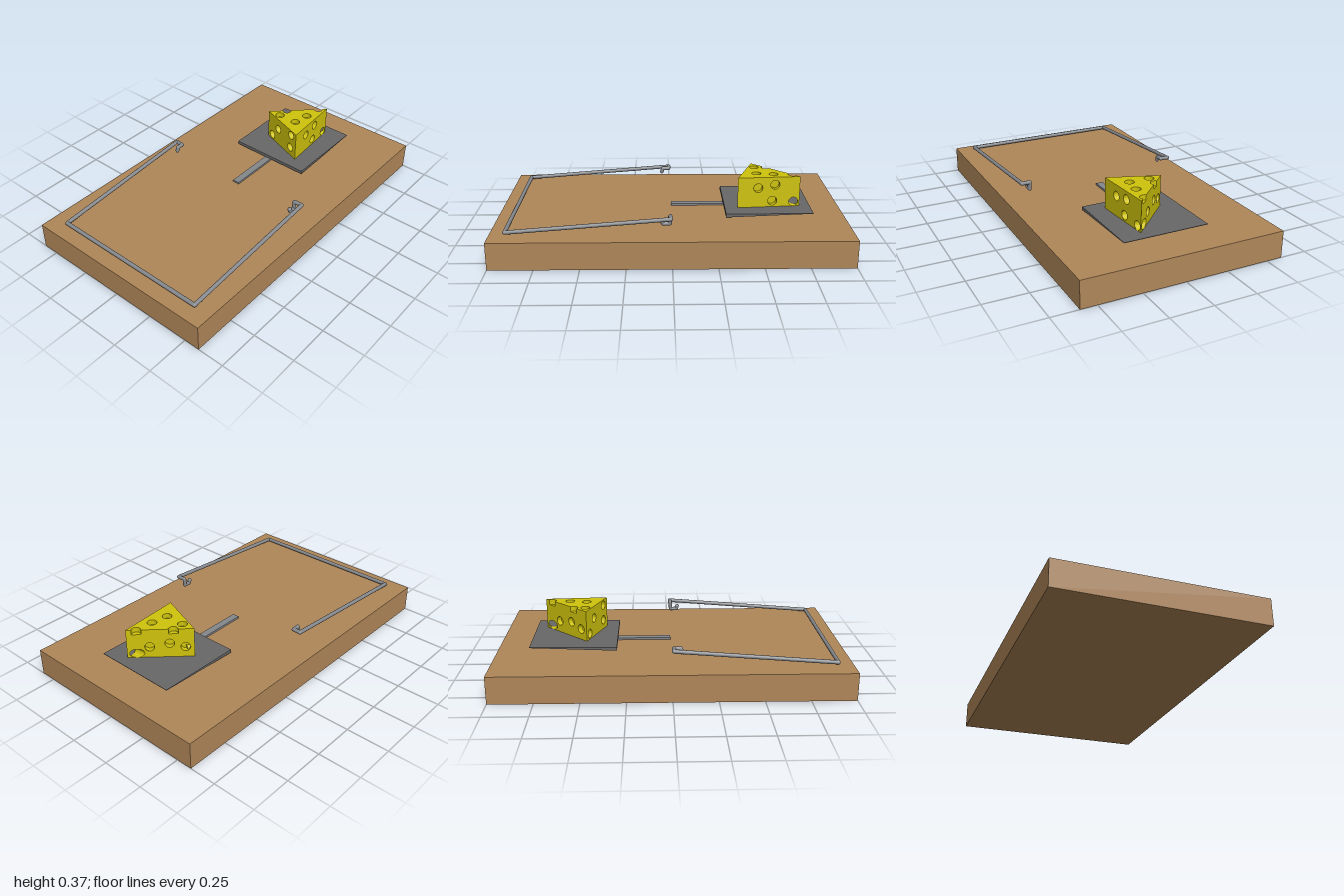
import * as THREE from 'three';

const mat = (color, side = THREE.FrontSide) => new THREE.MeshStandardMaterial({ color, side });
const wood = mat(0xb08759);
const plateGrey = mat(0x686868);
const steel = mat(0x85888c);
const yellow = mat(0xd0c40c, THREE.DoubleSide);

function add(parent, name, geometry, material) {
  const mesh = new THREE.Mesh(geometry, material);
  mesh.name = name;
  parent.add(mesh);
  return mesh;
}

// Round wire through a list of points, with ball joints at the bends
function wire(name, points, radius) {
  const group = new THREE.Group();
  group.name = name;
  const pts = points.map(p => new THREE.Vector3(...p));
  pts.forEach((p, i) => {
    add(group, 'wireBend', new THREE.SphereGeometry(radius, 16, 12), steel).position.copy(p);
    if (i === 0) return;
    const dir = p.clone().sub(pts[i - 1]);
    const rod = add(group, 'wireRod', new THREE.CylinderGeometry(radius, radius, dir.length(), 16), steel);
    rod.position.copy(p).add(pts[i - 1]).multiplyScalar(0.5);
    rod.quaternion.setFromUnitVectors(new THREE.Vector3(0, 1, 0), dir.normalize());
  });
  return group;
}

// Recessed hole sunk into a face that lies in the local xy plane
function crater(parent, x, y, r, depth, start = 0, length = Math.PI * 2) {
  const wall = new THREE.CylinderGeometry(r, r, depth, 24, 1, true, start + Math.PI / 2, length);
  wall.rotateX(Math.PI / 2).translate(x, y, -depth / 2);
  add(parent, 'holeWall', wall, yellow);
  const floor = new THREE.CircleGeometry(r, 24, start, length).translate(x, y, -depth);
  add(parent, 'holeFloor', floor, yellow);
}

function punch(shape, x, y, rx, ry = rx) {
  const hole = new THREE.Path();
  hole.absellipse(x, y, rx, ry, 0, Math.PI * 2, true);
  shape.holes.push(hole);
}

function createCheese() {
  const cheese = new THREE.Group();
  cheese.name = 'cheese';
  const base = 0.19, top = 0.372, r = 0.027, depth = 0.03;
  // Wedge corners as (x, -z), counter-clockwise from above
  const A = new THREE.Vector2(0.13, 0.75);
  const B = new THREE.Vector2(-0.135, 0.49);
  const C = new THREE.Vector2(0.155, 0.385);
  const dAB = B.clone().sub(A).normalize();
  const angAB = Math.atan2(dAB.y, dAB.x);
  const notches = [0.057, 0.258];

  // Top face with two half-round notches along the long edge
  const topFace = new THREE.Group();
  topFace.name = 'cheeseTop';
  topFace.rotation.x = -Math.PI / 2;
  topFace.position.y = top;
  const outline = [A];
  for (const u of notches) {
    const c = A.clone().addScaledVector(dAB, u);
    for (let i = 0; i <= 12; i++) {
      const t = angAB + Math.PI * (1 - i / 12);
      outline.push(new THREE.Vector2(c.x + r * Math.cos(t), c.y + r * Math.sin(t)));
    }
    crater(topFace, c.x, c.y, r, depth, angAB, Math.PI);
  }
  outline.push(B, C);
  const topShape = new THREE.Shape(outline);
  for (const [x, y] of [[0.08, 0.6], [0.065, 0.5], [-0.055, 0.5]]) {
    punch(topShape, x, y, r);
    crater(topFace, x, y, r, depth);
  }
  add(topFace, 'topSurface', new THREE.ShapeGeometry(topShape, 24), yellow);
  cheese.add(topFace);

  // Upright side from corner P to Q, holes given as [along, height]
  function side(name, P, Q, holes, cuts = [], through = null) {
    const face = new THREE.Group();
    face.name = name;
    const d = Q.clone().sub(P), len = d.length();
    face.position.set(P.x, 0, -P.y);
    face.rotation.y = Math.atan2(d.y, d.x);
    const s = new THREE.Shape();
    s.moveTo(len, top).lineTo;
    [...cuts].reverse().forEach(u => {
      s.lineTo(u + r, top);
      s.lineTo(u + r, top - depth);
      s.lineTo(u - r, top - depth);
      s.lineTo(u - r, top);
    });
    s.lineTo(0, top);
    s.lineTo(0, base);
    s.lineTo(len, base);
    s.closePath();
    for (const [x, y] of holes) {
      punch(s, x, y, r);
      crater(face, x, y, r, depth);
    }
    if (through) punch(s, ...through);
    add(face, name + 'Surface', new THREE.ShapeGeometry(s, 24), yellow);
    cheese.add(face);
    return face;
  }

  // One hole near corner A runs right through to the long side
  const lenCA = A.distanceTo(C);
  const dAC = C.clone().sub(A).normalize();
  const corner = Math.acos(dAC.dot(dAB));
  const inset = 0.036, holeY = 0.2195, stretch = 1 / Math.cos(corner);

  side('longSide', A, B, [[0.125, 0.26], [0.235, 0.28], [0.322, 0.255]], notches,
    [inset * stretch, holeY, r * stretch, r]);
  side('frontSide', B, C, [[0.048, 0.223], [0.112, 0.3], [0.25, 0.246], [0.255, 0.338]]);
  const right = side('rightSide', C, A, [[0.12, 0.307], [0.22, 0.325], [0.205, 0.228]], [],
    [lenCA - inset, holeY, r, r]);

  const tube = new THREE.CylinderGeometry(r, r, 1, 24, 1, true);
  tube.rotateX(Math.PI / 2).translate(lenCA - inset, holeY, -0.5);
  const pos = tube.attributes.position;
  for (let i = 0; i < pos.count; i++) {
    if (pos.getZ(i) < -0.5) pos.setZ(i, -(lenCA - pos.getX(i)) * Math.tan(corner));
    else pos.setZ(i, 0);
  }
  add(right, 'throughHole', tube, yellow);
  return cheese;
}

export function createModel() {
  const model = new THREE.Group();
  model.name = 'mousetrap';

  // Wooden board
  add(model, 'board', new THREE.BoxGeometry(1.186, 0.158, 2), wood).position.y = 0.079;

  // Trigger tongue and the wedge-shaped bait plate
  add(model, 'tongue', new THREE.BoxGeometry(0.042, 0.012, 0.33), steel).position.set(0, 0.164, -0.165);
  const profile = new THREE.Shape([[0.312, 0.17], [0.812, 0.19], [0.812, 0.193], [0.312, 0.19]]
    .map(p => new THREE.Vector2(...p)));
  const plate = new THREE.ExtrudeGeometry(profile, { depth: 0.5, bevelEnabled: false });
  plate.rotateY(Math.PI / 2).translate(-0.24, 0, 0);
  add(model, 'baitPlate', plate, plateGrey);

  // Bent wire bar with a hook on each end
  model.add(wire('wireBar', [
    [-0.43, 0.228, 0.053], [-0.43, 0.25, 0.048], [-0.43, 0.25, 0.01], [-0.476, 0.25, 0.008],
    [-0.476, 0.178, 0.91], [0.491, 0.178, 0.91],
    [0.491, 0.25, 0.008], [0.443, 0.25, 0.01], [0.443, 0.207, 0.014], [0.443, 0.207, 0.05], [0.443, 0.225, 0.056],
  ], 0.0115));

  model.add(createCheese());
  return model;
}
